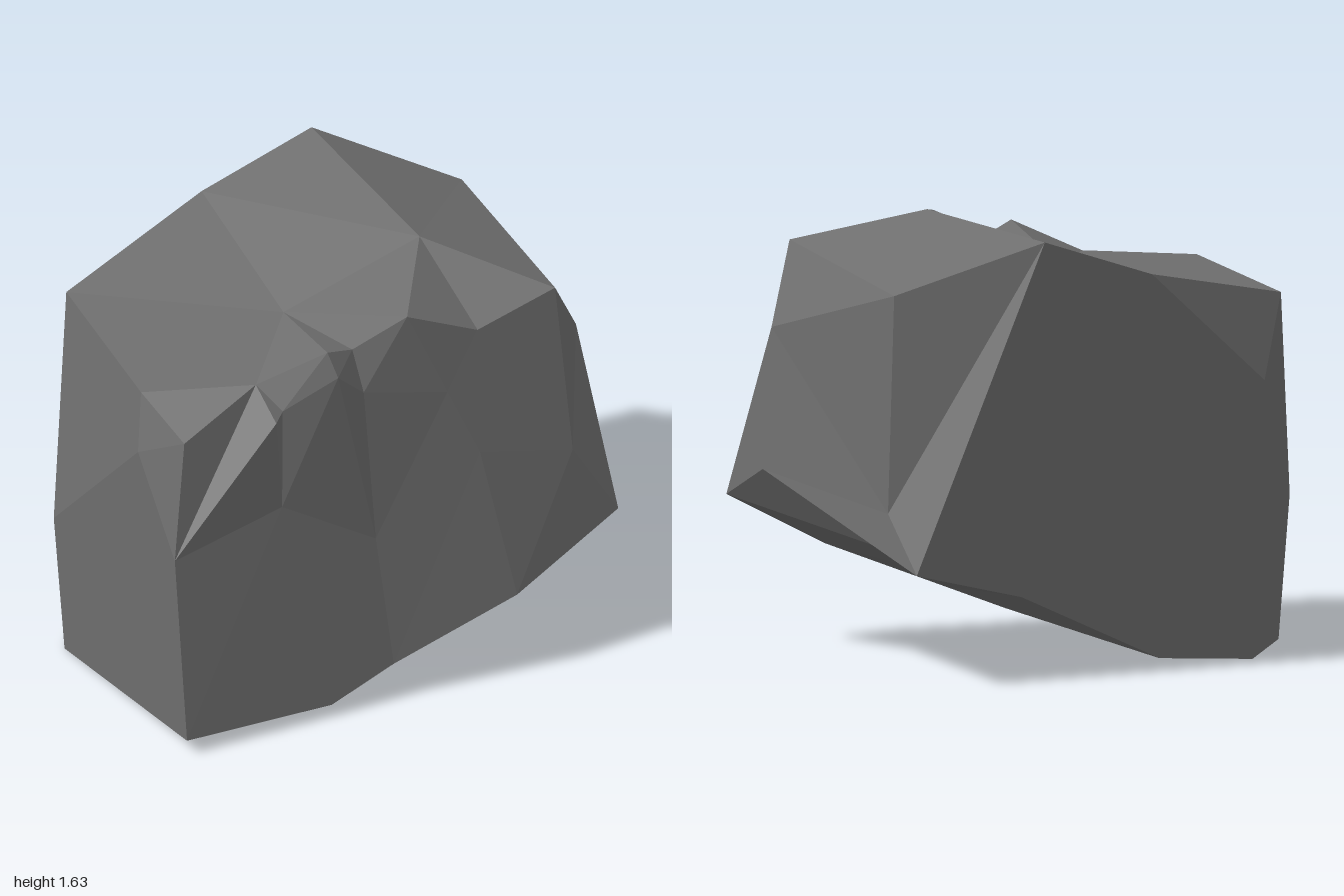
import * as THREE from 'three';

// Corners of the boulder, grouped by height band
const P = {
  // foot
  footFL: [-0.73, 0.06, 0.81], footF: [-0.15, 0.05, 0.69], footM: [0.10, 0.15, 0.63],
  footR: [0.58, 0.34, 0.58], prow: [1.0, 0.56, 0.44], tail: [0.24, 0.31, -0.72],
  footB: [-0.33, 0.04, -0.59], footBL: [-0.71, 0.01, -0.52], footL: [-0.97, 0, -0.02],
  // waist
  chin: [-0.76, 0.80, 0.75], slit: [-0.33, 0.91, 0.66], gully: [0.04, 0.68, 0.60],
  bulge: [0.45, 0.95, 0.54], brow: [0.82, 0.86, 0.47], ledge: [0.95, 0.69, 0.16],
  spur: [0.67, 0.42, -0.81], flank: [-1.0, 0.54, -0.06],
  // shoulder
  nick: [-0.70, 1.24, 0.66], slitL: [-0.36, 1.29, 0.69], slitR: [-0.32, 1.30, 0.63],
  rib: [-0.11, 1.41, 0.63], cleft: [0, 1.30, 0.58], scoop: [0.33, 1.22, 0.53],
  sideR: [0.91, 1.21, 0.18], hollow: [0.71, 0.62, -0.59], backL: [-0.75, 1.04, -0.54],
  cheek: [-0.84, 1.15, 0.53],
  // rim
  rimFL: [-0.81, 1.36, 0.46], rimA: [-0.40, 1.38, 0.55], rimB: [-0.14, 1.50, 0.59],
  rimC: [-0.03, 1.46, 0.53], rimD: [0.18, 1.56, 0.52], rimE: [0.46, 1.43, 0.47],
  rimFR: [0.78, 1.50, 0.37], rimBR: [0.68, 1.42, -0.57], rimBack: [0.16, 1.62, -0.75],
  rimBL: [-0.28, 1.47, -0.66], rimL: [-0.88, 1.33, -0.33],
  // crown
  dip: [-0.18, 1.40, 0.12], peak: [0.34, 1.63, 0.10],
};

// Upright sections around the boulder: foot, waist, shoulder, rim, crown
const sections = [
  'footFL chin nick rimFL dip',
  'footFL chin chin rimA dip',
  'footFL slit slitL rimA dip',
  'footF slit slitR rimA dip',
  'footF slit rib rimB dip',
  'footF gully rib rimC dip',
  'footF gully cleft rimC dip',
  'footM gully scoop rimD dip',
  'footM gully scoop rimD peak',
  'footR bulge scoop rimE peak',
  'footR brow brow rimE peak',
  'prow brow brow rimFR peak',
  'prow prow sideR rimFR peak',
  'tail ledge sideR rimBR peak',
  'tail spur hollow rimBR peak',
  'tail tail rimBack rimBack peak',
  'footB footB rimBL rimBL peak',
  'footB footB rimBL rimBL dip',
  'footBL footBL backL rimBL dip',
  'footBL footBL backL rimL dip',
  'footL flank flank rimL dip',
  'footL flank cheek rimFL dip',
  'footFL chin cheek rimFL dip',
].map((s) => s.split(' '));

// Underside: front and back corners paired from left to right
const underside = [
  'footFL footL', 'footFL footBL', 'footF footB',
  'footM footB', 'footR tail', 'prow tail',
].map((s) => s.split(' '));

export function createModel() {
  const positions = [];
  const tri = (a, b, c) => {
    if (a !== b && b !== c && a !== c) positions.push(...P[a], ...P[b], ...P[c]);
  };
  const quad = (a, b, c, d) => { tri(a, b, c); tri(a, c, d); };

  // Walls and top, stitched from section to section
  sections.forEach((s, i) => {
    const n = sections[(i + 1) % sections.length];
    for (let k = 0; k < 4; k++) quad(s[k], n[k], n[k + 1], s[k + 1]);
  });

  // Sloping underside
  for (let i = 0; i < underside.length - 1; i++) {
    const [f0, b0] = underside[i];
    const [f1, b1] = underside[i + 1];
    quad(f0, b0, b1, f1);
  }

  const geometry = new THREE.BufferGeometry();
  geometry.setAttribute('position', new THREE.Float32BufferAttribute(positions, 3));
  geometry.computeVertexNormals();

  const stone = new THREE.MeshStandardMaterial({ color: 0x6e6e6e, flatShading: true });
  stone.name = 'grey stone';

  const boulder = new THREE.Mesh(geometry, stone);
  boulder.name = 'boulder';
  const group = new THREE.Group();
  group.name = 'rock';
  group.add(boulder);
  return group;
}
